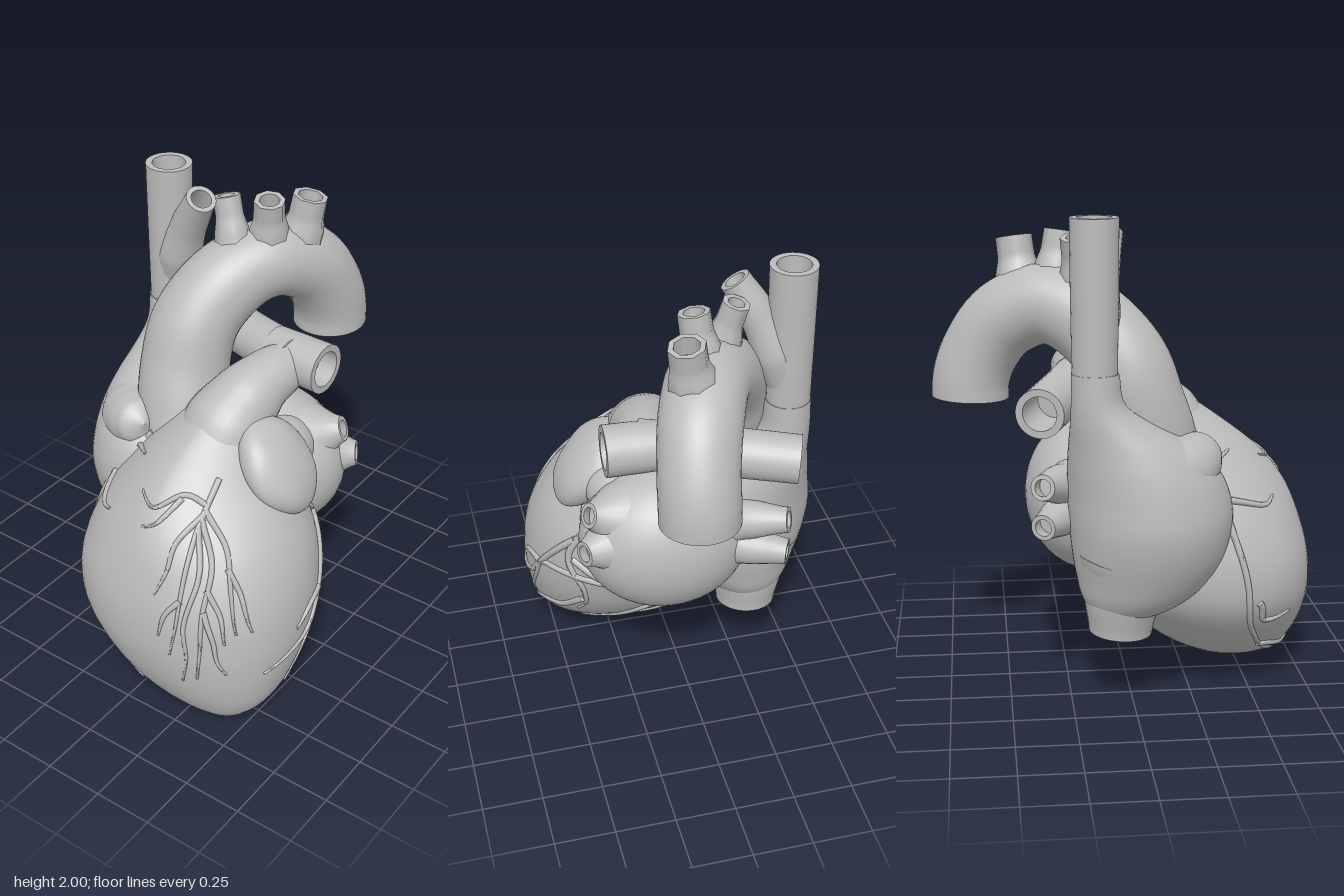
import * as THREE from 'three';
import { toCreasedNormals } from 'three/addons/utils/BufferGeometryUtils.js';

const tissue = new THREE.MeshStandardMaterial({ color: 0xbcbcbc });
tissue.name = 'grey tissue';
const V = (p) => new THREE.Vector3(...p);

// Skins a list of equally sized closed rings of points
function skin(rings) {
  const n = rings[0].length, pos = [], idx = [];
  rings.forEach((r) => r.forEach((p) => pos.push(p.x, p.y, p.z)));
  for (let i = 0; i < rings.length - 1; i++) {
    for (let j = 0; j < n; j++) {
      const a = i * n + j, c = i * n + ((j + 1) % n);
      idx.push(a, a + n, c, c, a + n, c + n);
    }
  }
  const g = new THREE.BufferGeometry();
  g.setAttribute('position', new THREE.Float32BufferAttribute(pos, 3));
  g.setIndex(idx);
  return toCreasedNormals(g, 0.9);
}

// Tube of changing radius; wall > 0 leaves a hollow mouth at the end
function sweep(points, radii, { sides = 28, steps = 32, wall = 0, depth = 0.3 } = {}) {
  const curve = new THREE.CatmullRomCurve3(points);
  const f = curve.computeFrenetFrames(steps);
  const radiusAt = (t) => {
    const s = t * (radii.length - 1), i = Math.min(Math.floor(s), radii.length - 2);
    return THREE.MathUtils.lerp(radii[i], radii[i + 1], THREE.MathUtils.smoothstep(s - i, 0, 1) * 0.5 + (s - i) * 0.5);
  };
  const ring = (i, r) => {
    const c = curve.getPointAt(i / steps);
    return Array.from({ length: sides }, (_, j) => {
      const a = (j / sides) * Math.PI * 2;
      return c.clone().addScaledVector(f.normals[i], r * Math.cos(a)).addScaledVector(f.binormals[i], -r * Math.sin(a));
    });
  };
  const rings = [ring(0, 0)];
  for (let i = 0; i <= steps; i++) rings.push(ring(i, radiusAt(i / steps)));
  if (wall) {
    const inner = Math.floor(steps * (1 - depth));
    for (let i = steps; i >= inner; i--) rings.push(ring(i, radiusAt(i / steps) - wall));
    rings.push(ring(inner, 0));
  } else rings.push(ring(steps, 0));
  return skin(rings);
}

// Smoothly interpolated horizontal slices: [y, xMin, xMax, zMin, zMax];
// the front half of each slice is a superellipse of power(y)
function sliceBody(rows, power) {
  const interp = new THREE.CubicInterpolant(rows.map((r) => r[0]), rows.flatMap((r) => r.slice(1)), 4, new Float32Array(4));
  const at = (y) => {
    const [a, b, c, d] = interp.evaluate(y);
    return { cx: (a + b) / 2, rx: (b - a) / 2, cz: (c + d) / 2, rz: (d - c) / 2 };
  };
  const y0 = rows[0][0], y1 = rows[rows.length - 1][0], rings = [], n = 64, steps = 56;
  const bend = (v, e) => Math.sign(v) * Math.pow(Math.abs(v), e);
  const ring = (y, k) => {
    const s = at(y);
    return Array.from({ length: n }, (_, j) => {
      const a = (j / n) * Math.PI * 2, e = 2 / (j < n / 2 ? power(y) : 2);
      return new THREE.Vector3(s.cx + k * s.rx * bend(Math.cos(a), e), y, s.cz + k * s.rz * bend(Math.sin(a), e));
    });
  };
  rings.push(ring(y0, 0));
  for (let i = 0; i <= steps; i++) rings.push(ring(y0 + (y1 - y0) * Math.pow(i / steps, 1.5), 1));
  rings.push(ring(y1, 0));
  return { geometry: skin(rings), at };
}

export function createModel() {
  const model = new THREE.Group();
  model.name = 'heart';
  const add = (name, geometry, parent = model) => {
    const m = new THREE.Mesh(geometry, tissue);
    m.name = name;
    parent.add(m);
    return m;
  };
  const vessel = (name, pts, radii, opt) => add(name, sweep(pts.map(V), radii, opt));

  // Ventricles: full and square below, ridged towards the pulmonary trunk
  const frontPower = (y) => THREE.MathUtils.lerp(2.3, 1.6, THREE.MathUtils.smoothstep(y, 0.5, 1));
  const ventricles = sliceBody([
    [0, 0.29, 0.38, 0.52, 0.59], [0.012, 0.18, 0.45, 0.43, 0.635], [0.04, 0.05, 0.5, 0.31, 0.675], [0.1, -0.1, 0.545, 0.2, 0.72],
    [0.2, -0.24, 0.578, 0.07, 0.765], [0.3, -0.335, 0.595, -0.02, 0.79], [0.4, -0.395, 0.602, -0.08, 0.8],
    [0.55, -0.415, 0.59, -0.13, 0.79], [0.7, -0.39, 0.55, -0.13, 0.75], [0.8, -0.35, 0.5, -0.1, 0.71],
    [0.9, -0.29, 0.425, -0.07, 0.645], [1.0, -0.215, 0.33, -0.05, 0.55], [1.1, -0.135, 0.265, -0.05, 0.42],
    [1.2, -0.05, 0.215, -0.05, 0.27], [1.26, 0, 0.18, -0.03, 0.15],
  ], frontPower);
  add('ventricles', ventricles.geometry);

  // Right atrium with its ear and the two great veins
  add('rightAtrium', sliceBody([
    [0.36, -0.4, -0.22, -0.13, 0.04], [0.42, -0.475, -0.14, -0.19, 0.19], [0.55, -0.548, -0.03, -0.23, 0.34],
    [0.75, -0.605, 0.04, -0.255, 0.41], [0.9, -0.597, 0.02, -0.263, 0.39], [1.0, -0.582, -0.06, -0.264, 0.33],
    [1.1, -0.56, -0.16, -0.261, 0.22], [1.18, -0.542, -0.26, -0.257, 0.08], [1.26, -0.53, -0.32, -0.254, -0.03],
    [1.4, -0.523, -0.336, -0.252, -0.066],
  ], () => 2).geometry);
  vessel('rightAuricle', [[-0.42, 0.96, 0.02], [-0.4, 0.97, 0.12], [-0.345, 1.0, 0.22], [-0.215, 1.065, 0.315]],
    [0.1, 0.14, 0.15, 0.14, 0.12, 0.095, 0]);
  vessel('superiorVenaCava', [[-0.43, 1.2, -0.16], [-0.43, 1.4, -0.16], [-0.43, 1.7, -0.16], [-0.43, 2, -0.16]],
    [0.088, 0.091, 0.094, 0.096], { wall: 0.027 });
  vessel('brachiocephalicVein', [[-0.42, 1.45, -0.165], [-0.36, 1.65, -0.145], [-0.29, 1.8, -0.12], [-0.215, 1.925, -0.09]],
    [0.07, 0.095, 0.075, 0.063], { sides: 16, wall: 0.02 });
  vessel('inferiorVenaCava', [[-0.32, 0.62, -0.01], [-0.315, 0.45, -0.04], [-0.31, 0.3, -0.05]],
    [0.23, 0.16, 0.13], { wall: 0.018 });

  // Left atrium with pulmonary veins
  const atrium = add('leftAtrium', new THREE.SphereGeometry(1, 48, 32));
  atrium.scale.set(0.365, 0.325, 0.28);
  atrium.rotation.z = 0.15;
  atrium.position.set(0.08, 0.79, -0.14);
  const veins = [
    [[0.12, 0.87, -0.13], [0.3, 0.95, -0.18], [0.415, 1.0, -0.22], 0.24, 0.165],
    [[0.12, 0.8, -0.15], [0.32, 0.84, -0.22], [0.45, 0.855, -0.28], 0.24, 0.15],
    [[-0.08, 0.86, -0.17], [-0.25, 0.91, -0.29], [-0.39, 0.935, -0.365], 0.17, 0.085],
    [[-0.08, 0.78, -0.17], [-0.25, 0.775, -0.29], [-0.39, 0.77, -0.365], 0.17, 0.085],
  ];
  veins.forEach(([a, b, c, r0, r1], i) => vessel('pulmonaryVein' + (i + 1), [a, b, c], [r0, r1, 0.053],
    { sides: 20, steps: 20, wall: 0.018, depth: 0.2 }));

  // Left auricle: a flattened, softly scalloped lobe
  const lobe = new THREE.SphereGeometry(1, 48, 32), lp = lobe.attributes.position;
  for (let i = 0; i < lp.count; i++) {
    const x = lp.getX(i), y = lp.getY(i), z = lp.getZ(i);
    const wave = Math.pow(Math.hypot(x, z), 3) * Math.cos(4 * Math.atan2(z, x) + 0.8);
    lp.setXYZ(i, x * 0.215 * (1 + 0.02 * wave), y * 0.1 * (1 - 0.12 * wave), z * 0.178 * (1 + 0.02 * wave));
  }
  lobe.computeVertexNormals();
  const auricle = add('leftAuricle', lobe);
  auricle.rotation.z = -0.92;
  auricle.position.set(0.34, 1.0, 0.155);
  vessel('leftAuricleNeck', [[0.18, 0.92, -0.12], [0.26, 0.96, 0], [0.31, 0.98, 0.12]], [0.14, 0.13, 0.09]);

  // Aorta and its arch branches
  vessel('aorta', [[-0.15, 0.92, 0.14], [-0.21, 1.2, 0.045], [-0.2, 1.41, -0.03], [-0.13, 1.56, -0.17], [-0.04, 1.615, -0.33],
    [0.03, 1.54, -0.5], [0.06, 1.4, -0.6], [0.065, 1.29, -0.637], [0.065, 1.218, -0.64]],
  [0.18, 0.19, 0.185, 0.175, 0.165, 0.165, 0.16, 0.16], { sides: 40, steps: 56, wall: 0.025, depth: 0.2 });
  const branches = [
    [[-0.13, 1.66, -0.2], [-0.15, 1.77, -0.205], [-0.185, 1.9, -0.22], 0.057],
    [[-0.035, 1.68, -0.3], [-0.02, 1.78, -0.285], [-0.005, 1.91, -0.265], 0.065],
    [[0.02, 1.64, -0.42], [0.05, 1.75, -0.435], [0.07, 1.88, -0.45], 0.075],
  ];
  branches.forEach(([a, b, c, r], i) => vessel('archBranch' + (i + 1), [a, b, c], [r * 1.75, r * 1.3, r * 1.02, r], { sides: 8, steps: 18, wall: 0.022 }));

  // Pulmonary trunk splitting into the two arteries
  vessel('pulmonaryTrunk', [[0.08, 0.86, 0.26], [0.085, 1.08, 0.165], [0.13, 1.215, 0.01], [0.18, 1.27, -0.17]],
    [0.12, 0.18, 0.18, 0.15, 0.12, 0.1], { steps: 40 });
  vessel('leftPulmonaryArtery', [[0.08, 1.28, -0.2], [0.2, 1.28, -0.19], [0.34, 1.28, -0.185]], [0.1, 0.106, 0.107], { wall: 0.03 });
  vessel('rightPulmonaryArtery', [[0.2, 1.28, -0.165], [-0.1, 1.26, -0.26], [-0.42, 1.24, -0.375]],
    [0.103, 0.102, 0.1], { wall: 0.03 });

  // Coronary vessels drawn in two coordinates and laid on the ventricles
  const chord = (d, r, p) => Math.pow(Math.max(0, 1 - Math.pow(Math.min(1, Math.abs(d / r)), p)), 1 / p);
  const onSlice = (sign, power) => (x, y) => {
    const s = ventricles.at(y), u = THREE.MathUtils.clamp(x, s.cx - s.rx, s.cx + s.rx);
    return new THREE.Vector3(u, y, s.cz + sign * s.rz * chord(u - s.cx, s.rx, power(y)));
  };
  const lay = {
    front: onSlice(1, frontPower),
    back: onSlice(-1, () => 2),
    side: (z, y) => {
      const s = ventricles.at(y), w = THREE.MathUtils.clamp(z, s.cz - s.rz, s.cz + s.rz);
      return new THREE.Vector3(s.cx + s.rx * chord(w - s.cz, s.rz, w > s.cz ? frontPower(y) : 2), y, w);
    },
  };
  const coronary = (name, face, r, paths) => {
    const group = new THREE.Group();
    group.name = name;
    model.add(group);
    paths.forEach((path) => {
      const flat = new THREE.SplineCurve(path.map(([a, b]) => new THREE.Vector2(a, b)));
      const pts = flat.getPoints(14).map((p) => lay[face](p.x, p.y));
      add('coronaryVessel', sweep(pts, [r, r * 0.8, r * 0.4], { sides: 7, steps: 28 }), group);
    });
  };
  coronary('anteriorVessels', 'front', 0.013, [
    [[0.23, 1.03], [0.25, 0.9], [0.27, 0.75], [0.28, 0.55], [0.26, 0.4]],
    [[0.25, 0.9], [0.32, 0.75], [0.31, 0.55], [0.33, 0.4], [0.31, 0.27]],
    [[0.25, 0.92], [0.35, 0.78], [0.37, 0.6], [0.38, 0.45], [0.37, 0.3]],
    [[0.37, 0.62], [0.42, 0.5], [0.44, 0.4], [0.47, 0.33]],
    [[0.24, 0.95], [0.37, 0.83], [0.44, 0.68], [0.49, 0.52]],
    [[0.4, 0.77], [0.47, 0.67], [0.53, 0.52]],
    [[0.36, 0.7], [0.43, 0.6], [0.46, 0.48]],
    [[0.25, 0.94], [0.2, 0.85], [0.2, 0.75], [0.17, 0.65]],
    [[0.24, 0.96], [0.15, 0.99], [0.06, 0.94], [-0.03, 0.96]],
    [[0.15, 0.98], [0.1, 0.9], [0.04, 0.87]],
    [[0.28, 0.65], [0.23, 0.58], [0.21, 0.48]],
  ]);
  coronary('rightVessels', 'front', 0.016, [
    [[-0.19, 1.02], [-0.27, 0.92], [-0.35, 0.78], [-0.4, 0.6], [-0.385, 0.4], [-0.27, 0.24], [-0.1, 0.12], [0.1, 0.06]],
    [[-0.28, 0.9], [-0.22, 0.97], [-0.13, 1.01]],
    [[-0.31, 0.84], [-0.25, 0.8], [-0.18, 0.82]],
    [[-0.38, 0.42], [-0.33, 0.33], [-0.27, 0.35]],
    [[-0.2, 0.18], [-0.05, 0.13], [0.07, 0.13]],
  ]);
  coronary('leftVessels', 'side', 0.017, [
    [[0.07, 0.88], [0.01, 0.75], [-0.06, 0.62], [-0.12, 0.48]],
    [[0.03, 0.86], [-0.04, 0.75], [-0.09, 0.62], [-0.11, 0.5]],
    [[0.01, 0.72], [0.03, 0.6], [0.0, 0.46], [0.03, 0.34], [0.1, 0.25]],
    [[0.02, 0.7], [0.13, 0.55], [0.2, 0.46], [0.3, 0.36], [0.56, 0.29]],
    [[-0.09, 0.5], [0.05, 0.51], [0.17, 0.49], [0.24, 0.37], [0.38, 0.18]],
    [[0.03, 0.36], [0.15, 0.25], [0.28, 0.2], [0.4, 0.13]],
    [[0.18, 0.49], [0.28, 0.48], [0.38, 0.42]],
  ]);
  coronary('posteriorVessels', 'back', 0.016, [
    [[-0.1, 0.45], [0.0, 0.3], [0.12, 0.17], [0.25, 0.07]],
    [[-0.05, 0.4], [0.12, 0.32], [0.25, 0.2], [0.38, 0.1]],
    [[0.45, 0.6], [0.3, 0.5], [0.1, 0.44], [-0.1, 0.42]],
  ]);
  return model;
}
